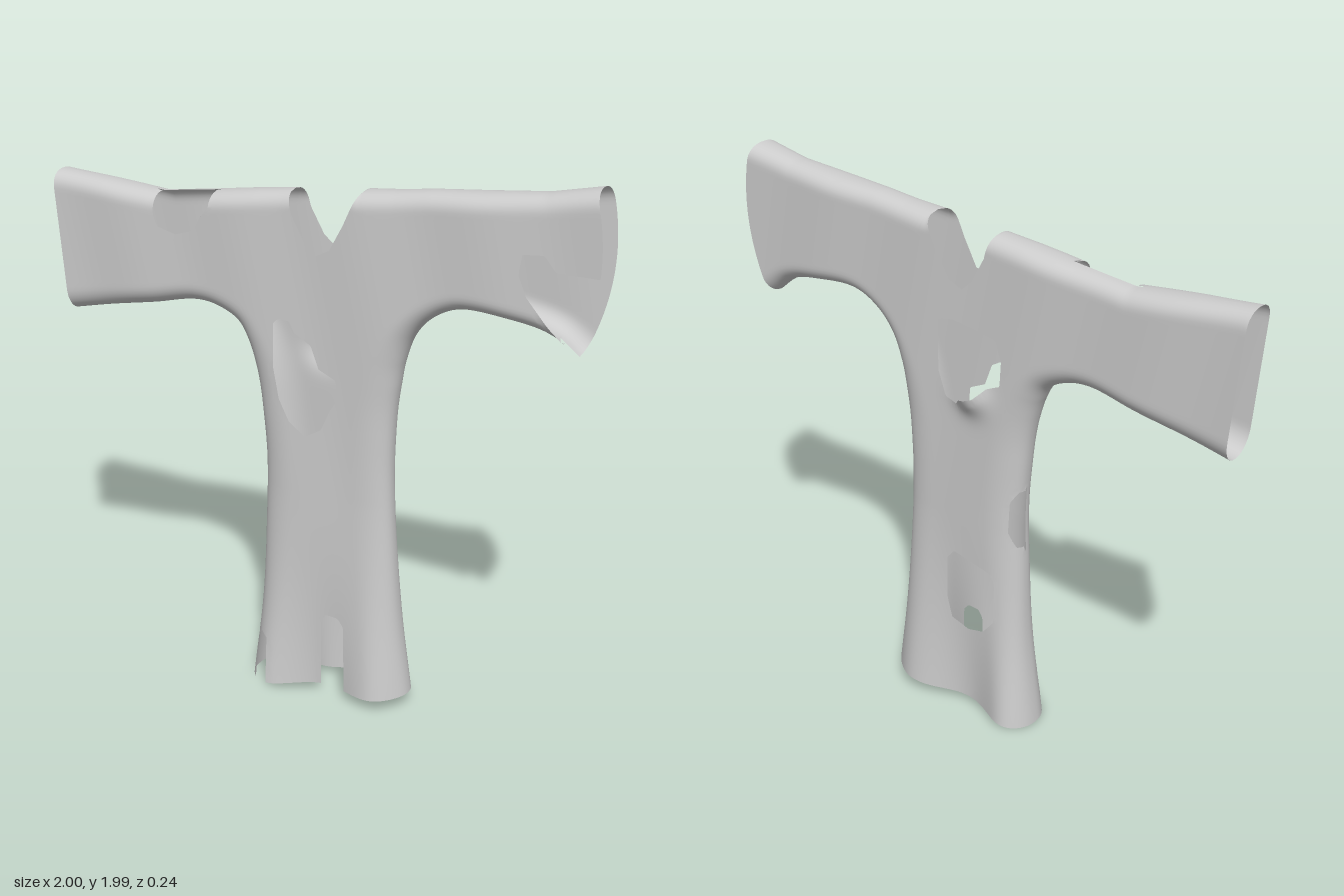
import * as THREE from 'three';
import { mergeVertices } from 'three/addons/utils/BufferGeometryUtils.js';

const V = ([x, y]) => new THREE.Vector3(x, y, 0);
const SUB = 16; // steps between two stations
const ACROSS = 36; // steps from the outer line to the side seam

// Each half is a strip bent from cuff to hem. The outer line follows shoulder,
// neckline and centre; the inner line follows underarm and side seam.
const SHOULDER_END = 5; // station at the neck point
const CENTRE = [[0.04, 1.665], [0.05, 1.4], [0.05, 1.1], [0.05, 0.7], [0.06, 0.35], [0.07, 0.035]];
const HALVES = [
  {
    sign: 1, bulge: 0,
    outer: [[-1, 1.835], [-0.8, 1.82], [-0.58, 1.8], [-0.38, 1.825], [-0.2, 1.85], [-0.07, 1.865],
      [-0.05, 1.79], [0, 1.7], ...CENTRE],
    inner: [[-0.96, 1.325], [-0.8, 1.36], [-0.62, 1.395], [-0.45, 1.43], [-0.36, 1.42], [-0.28, 1.38],
      [-0.245, 1.32], [-0.222, 1.25], [-0.205, 1.17], [-0.193, 1.07], [-0.18, 0.9], [-0.185, 0.65], [-0.2, 0.33], [-0.24, 0]],
  },
  {
    sign: -1, bulge: 0.05,
    outer: [[0.97, 1.985], [0.8, 1.95], [0.6, 1.93], [0.42, 1.915], [0.3, 1.9], [0.19, 1.89],
      [0.14, 1.78], [0.09, 1.69], ...CENTRE],
    inner: [[0.93, 1.44], [0.84, 1.505], [0.7, 1.535], [0.53, 1.54], [0.43, 1.49], [0.37, 1.42],
      [0.335, 1.32], [0.32, 1.23], [0.31, 1.15], [0.304, 1.05], [0.302, 0.9], [0.315, 0.65], [0.345, 0.33], [0.385, 0.06]],
  },
];

// Tears in the cloth, as closed outlines
const TEARS = {
  front: [
    // chest
    [[-0.12, 1.41], [-0.1, 1.43], [-0.06, 1.425], [-0.04, 1.385], [0.02, 1.35], [0.05, 1.27], [0.115, 1.24],
      [0.12, 1.17], [0.09, 1.12], [0.06, 1.05], [0, 1.015], [-0.06, 1.06], [-0.1, 1.14], [-0.12, 1.25]],
    // shoulder
    [[-0.585, 1.9], [-0.585, 1.73], [-0.57, 1.69], [-0.5, 1.67], [-0.43, 1.69], [-0.4, 1.74], [-0.365, 1.78], [-0.36, 1.9]],
    // cuff
    [[1.1, 1.72], [0.86, 1.72], [0.82, 1.77], [0.75, 1.765], [0.74, 1.7], [0.77, 1.63], [0.82, 1.57],
      [0.88, 1.49], [0.9, 1.38], [1.1, 1.38]],
    // hem slots
    [[0.055, -0.1], [0.06, 0.3], [0.08, 0.33], [0.13, 0.33], [0.155, 0.3], [0.165, -0.1]],
    [[-0.205, -0.1], [-0.2, 0.17], [-0.18, 0.205], [-0.15, 0.19], [-0.14, -0.1]],
  ],
  back: [
    // below the neck
    [[-0.12, 1.36], [-0.07, 1.34], [-0.03, 1.3], [0.03, 1.28], [0.06, 1.25], [0.11, 1.26], [0.14, 1.35],
      [0.14, 1.54], [0.08, 1.55], [-0.1, 1.52], [-0.125, 1.45]],
    // lower back
    [[-0.1, 0.42], [-0.05, 0.36], [0.02, 0.34], [0.09, 0.37], [0.11, 0.45], [0.11, 0.62], [0.08, 0.655], [-0.08, 0.62], [-0.1, 0.58]],
    // side
    [[-0.3, 0.72], [-0.17, 0.74], [-0.145, 0.8], [-0.15, 0.92], [-0.175, 0.96], [-0.3, 0.97]],
  ],
};

// Nearest point on a line of points
function nearest(line, x, y, closed = false) {
  let best = { d: Infinity, x, y };
  for (let i = closed ? 0 : 1; i < line.length; i++) {
    const [ax, ay] = line[(i + line.length - 1) % line.length];
    const dx = line[i][0] - ax, dy = line[i][1] - ay;
    const k = THREE.MathUtils.clamp(((x - ax) * dx + (y - ay) * dy) / (dx * dx + dy * dy), 0, 1);
    const px = ax + k * dx, py = ay + k * dy, d = Math.hypot(x - px, y - py);
    if (d < best.d) best = { d, x: px, y: py };
  }
  return best;
}

function inside(poly, x, y) {
  let hit = false;
  poly.forEach(([ax, ay], i) => {
    const [bx, by] = poly[(i + 1) % poly.length];
    if ((ay > y) !== (by > y) && x < ax + ((y - ay) / (by - ay)) * (bx - ax)) hit = !hit;
  });
  return hit;
}

// Resample the two edges of every half
for (const h of HALVES) {
  const spline = new THREE.CatmullRomCurve3(h.inner.map(V));
  h.steps = (h.outer.length - 1) * SUB;
  h.a = [];
  h.b = [];
  for (let i = 0; i <= h.steps; i++) {
    const k = Math.min(Math.floor(i / SUB), h.outer.length - 2), f = i / SUB - k;
    h.a.push([0, 1].map((n) => THREE.MathUtils.lerp(h.outer[k][n], h.outer[k + 1][n], f)));
    const p = spline.getPoint(i / h.steps);
    h.b.push([p.x, p.y]);
  }
}
const SEAMS = HALVES.flatMap((h) => [h.b, h.outer.slice(0, SHOULDER_END + 1)]);

// Depth of the cloth: zero at the seams, rounded over, with folds at the hem
function depth(x, y, side) {
  const d = Math.min(...SEAMS.map((s) => nearest(s, x, y).d));
  const torso = 1 - THREE.MathUtils.smoothstep(y, 1.1, 1.6);
  const r = 0.06 + 0.07 * torso;
  const round = Math.pow(1 - Math.pow(1 - Math.min(d / r, 1), 2.3), 1 / 2.3);
  const flare = Math.pow(Math.max(0, 1 - y / 0.8), 1.4);
  const fold = 0.018 + 0.032 * Math.cos((2 * Math.PI * (x - (side > 0 ? 0.28 : 0.24))) / 0.43);
  let half = 0.073 + flare * fold + 0.004 * Math.sin(14 * x + 3 * y) * (1 - flare);
  if (side < 0) half += 0.05 * Math.exp(-(x * x + (y - 1.3) ** 2) / 0.004); // loose flap
  return side * half * round - 0.012 * x;
}

function createCloth() {
  const pos = [], index = [];
  for (const [side, tears] of [[1, TEARS.front], [-1, TEARS.back]]) {
    for (const h of HALVES) {
      const base = pos.length / 3, row = ACROSS + 1;
      for (let i = 0; i <= h.steps; i++) {
        const cuff = h.bulge * Math.max(0, 1 - i / (2 * SUB));
        for (let j = 0; j <= ACROSS; j++) {
          const t = (1 - Math.cos((Math.PI * j) / ACROSS)) / 2;
          let x = THREE.MathUtils.lerp(h.a[i][0], h.b[i][0], t) + cuff * 4 * t * (1 - t);
          let y = THREE.MathUtils.lerp(h.a[i][1], h.b[i][1], t);
          // pull nearby points onto the edge of a tear
          for (const tear of tears) {
            const n = nearest(tear, x, y, true);
            if (n.d < 0.011) ({ x, y } = n);
          }
          pos.push(x, y, depth(x, y, side));
        }
      }
      const add = (a, b, c) => {
        const mid = (n) => (pos[a * 3 + n] + pos[b * 3 + n] + pos[c * 3 + n]) / 3;
        if (tears.some((tear) => inside(tear, mid(0), mid(1)))) return;
        if (h.sign * side > 0) index.push(a, b, c);
        else index.push(a, c, b);
      };
      for (let i = 0; i < h.steps; i++) {
        for (let j = 0; j < ACROSS; j++) {
          const p = base + i * row + j;
          add(p, p + 1, p + row);
          add(p + 1, p + row + 1, p + row);
        }
      }
    }
  }
  // weld halves and panels so the shading runs smoothly over the seams
  let geo = new THREE.BufferGeometry();
  geo.setAttribute('position', new THREE.Float32BufferAttribute(pos, 3));
  geo.setIndex(index);
  geo = mergeVertices(geo, 1e-4);
  geo.computeVertexNormals();
  return geo;
}

export function createModel() {
  const group = new THREE.Group();
  group.name = 'tornTunic';
  const material = new THREE.MeshStandardMaterial({ color: 0xcccccc, side: THREE.DoubleSide });
  const cloth = new THREE.Mesh(createCloth(), material);
  cloth.name = 'tunicCloth';
  group.add(cloth);
  return group;
}
